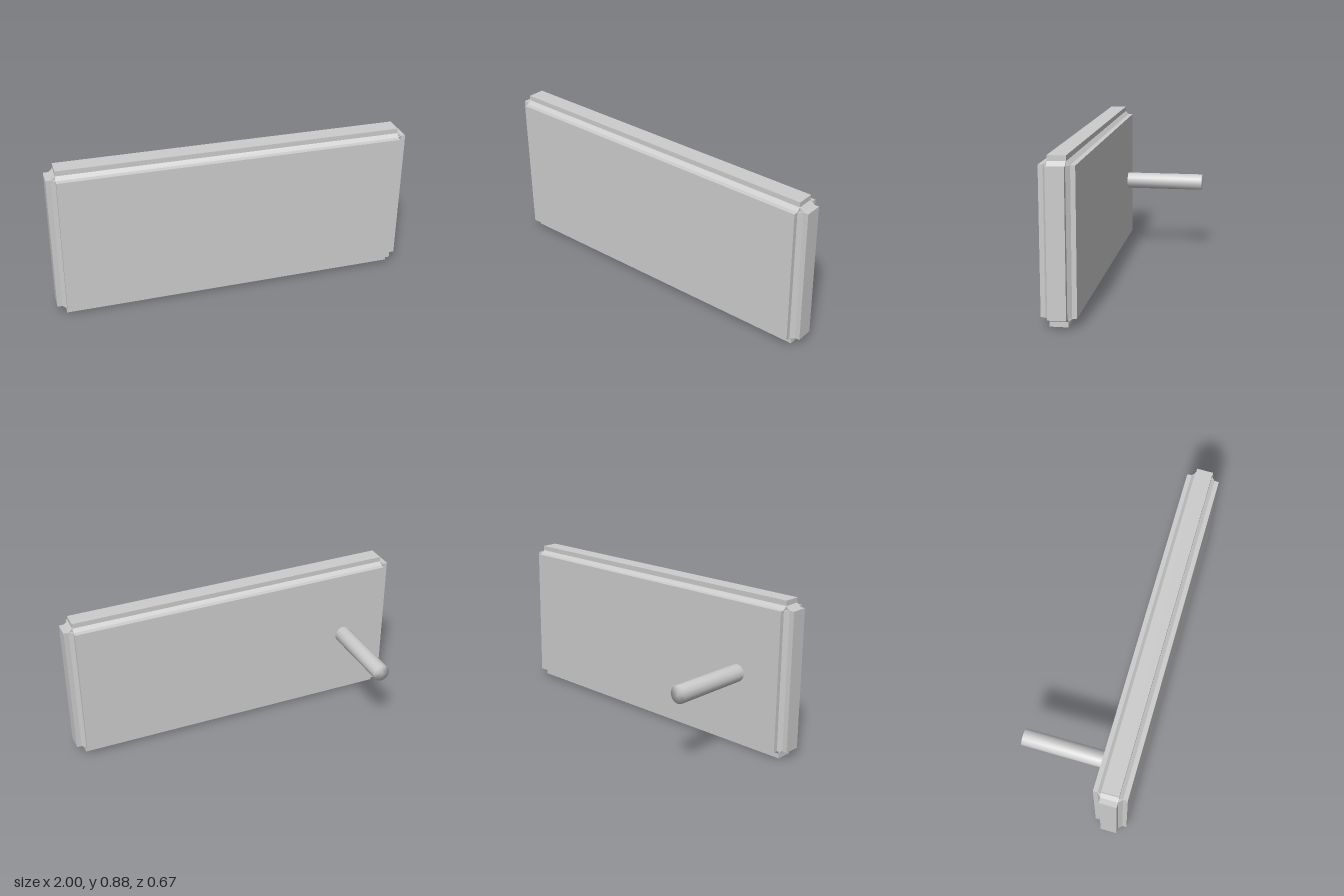
import * as THREE from 'three';
import { mergeVertices } from 'three/addons/utils/BufferGeometryUtils.js';

const CY = 0.4425, CZ = 0.2425; // panel centre

// Extrude a shape, mirrored in both axes from one quarter outline, centred on the origin
function mirroredPrism(quarter, length) {
  const back = [...quarter].reverse();
  const points = [
    ...quarter,
    ...back.map(([a, b]) => [-a, b]),
    ...quarter.map(([a, b]) => [-a, -b]),
    ...back.map(([a, b]) => [a, -b]),
  ].map(([a, b]) => new THREE.Vector2(a, b));
  const geometry = new THREE.ExtrudeGeometry(new THREE.Shape(points), { depth: length, bevelEnabled: false });
  return geometry.translate(0, 0, -length / 2);
}

// The panel gets slightly lower towards +x
function taper(geometry) {
  const p = geometry.attributes.position;
  for (let i = 0; i < p.count; i++) p.setY(i, p.getY(i) * (1 - 0.022 * (p.getX(i) + 1) / 2));
  geometry.computeVertexNormals();
  return geometry;
}

export function createModel() {
  const model = new THREE.Group();
  const grey = new THREE.MeshStandardMaterial({ color: 0xcccccc });
  grey.name = 'grey';

  function add(name, geometry, x, y, z) {
    const mesh = new THREE.Mesh(geometry, grey);
    mesh.name = name;
    mesh.position.set(x, y, z);
    model.add(mesh);
  }

  // Slab with raised top and bottom strips, swept along x
  const slab = mirroredPrism([[0.0925, 0.3935], [0.0675, 0.3955], [0.0475, 0.414], [0.0475, 0.4425]], 1.9);
  add('panel', taper(slab.rotateY(Math.PI / 2)), 0, CY, CZ);

  // Raised strips on both side edges, swept along y
  const sides = mirroredPrism([[1, 0.0475], [0.972, 0.0475], [0.95, 0.0675]], 0.787);
  add('sideStrips', taper(sides.rotateX(Math.PI / 2)), 0, CY, CZ);

  // Chamfers that fill the corners between the strips
  const corners = mirroredPrism([[0.972, 0.3935], [0.95, 0.414]], 0.095);
  add('cornerChamfers', taper(corners), 0, CY, CZ);

  // Peg behind the panel, shaded smoothly over its ends
  let peg = new THREE.CylinderGeometry(0.05, 0.05, 0.473, 12);
  peg.deleteAttribute('normal');
  peg.deleteAttribute('uv');
  peg = mergeVertices(peg);
  peg.computeVertexNormals();
  add('peg', peg.rotateX(Math.PI / 2), -0.688, CY, -0.1);

  return model;
}
